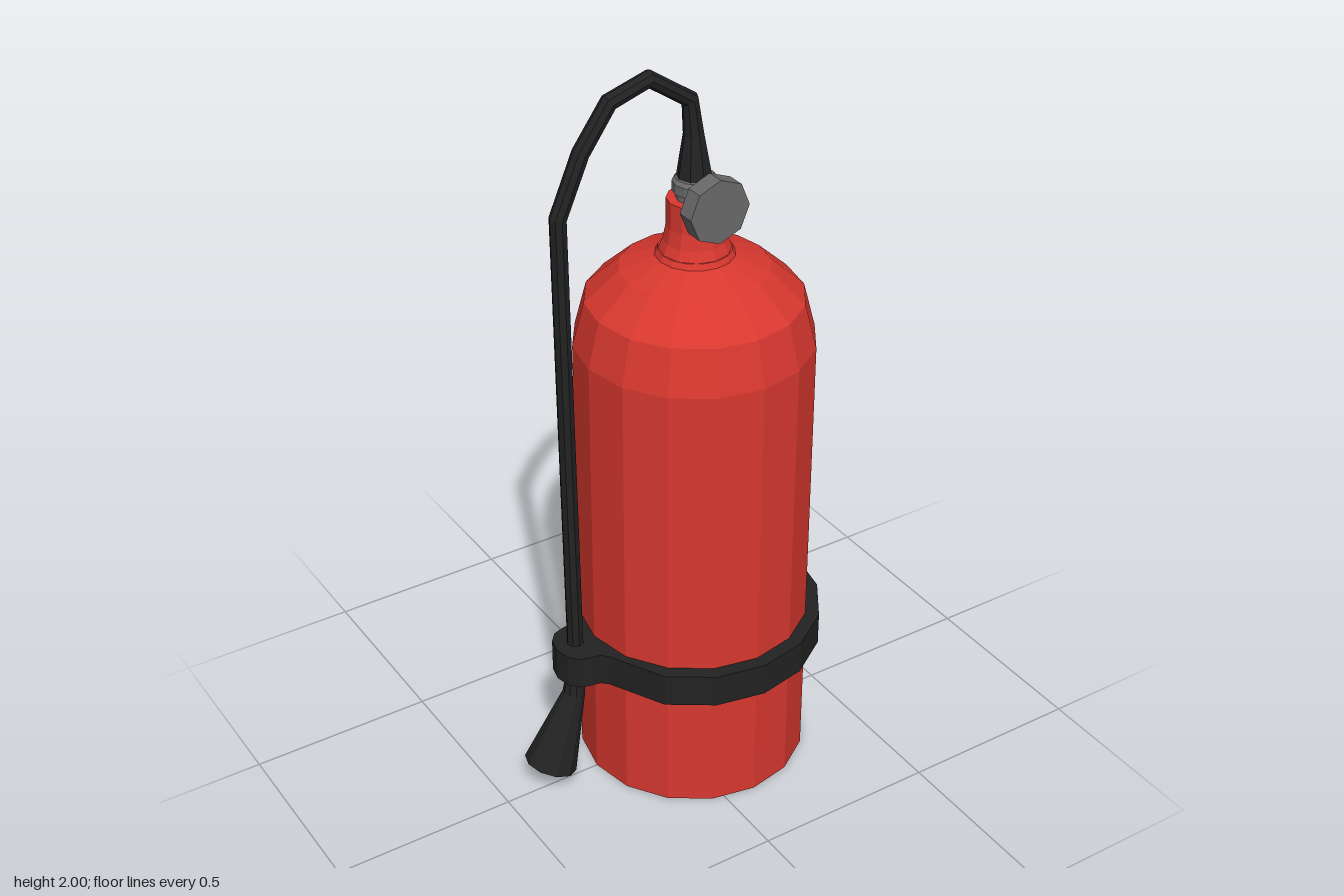
import * as THREE from 'three';

const CX = 0.086; // cylinder axis
const material = (color) => new THREE.MeshStandardMaterial({ color, flatShading: true });

// Tube of varying radius along a path of [x, y, radius] in the XY plane
function taperedTube(path, sides) {
  const Z = new THREE.Vector3(0, 0, 1);
  const centres = path.map(([x, y]) => new THREE.Vector3(x, y, 0));
  const pos = [], index = [];
  centres.forEach((c, i) => {
    const before = centres[Math.max(i - 1, 0)];
    const after = centres[Math.min(i + 1, centres.length - 1)];
    const inDir = (i ? c.clone().sub(before) : after.clone().sub(c)).normalize();
    const outDir = (i < centres.length - 1 ? after.clone().sub(c) : c.clone().sub(before)).normalize();
    const n = Z.clone().cross(inDir.add(outDir).normalize());
    for (let j = 0; j < sides; j++) {
      const a = (j / sides) * Math.PI * 2;
      const p = c.clone().addScaledVector(n, path[i][2] * Math.cos(a)).addScaledVector(Z, path[i][2] * Math.sin(a));
      pos.push(p.x, p.y, p.z);
    }
  });
  const last = (path.length - 1) * sides;
  for (let i = 0; i < path.length - 1; i++) {
    for (let j = 0; j < sides; j++) {
      const k = (j + 1) % sides, a = i * sides, b = a + sides;
      index.push(a + j, a + k, b + k, a + j, b + k, b + j);
    }
  }
  for (let j = 1; j < sides - 1; j++) {
    index.push(0, j + 1, j, last, last + j, last + j + 1);
  }
  const g = new THREE.BufferGeometry();
  g.setAttribute('position', new THREE.Float32BufferAttribute(pos, 3));
  g.setIndex(index);
  g.computeVertexNormals();
  return g;
}

export function createModel() {
  const model = new THREE.Group();
  model.name = 'fireExtinguisher';
  const red = material(0xd8382f), black = material(0x222222), grey = material(0x6a6a6a);

  const add = (name, geometry, mat, x = 0, y = 0, z = 0) => {
    const mesh = new THREE.Mesh(geometry, mat);
    mesh.name = name;
    mesh.position.set(x, y, z);
    model.add(mesh);
    return mesh;
  };
  const lathe = (profile, sides) =>
    new THREE.LatheGeometry(profile.map(([r, y]) => new THREE.Vector2(r, y)), sides);

  // Tank with faceted shoulder, and its neck
  add('tank', lathe([[0, 0], [0.308, 0], [0.308, 1.26], [0.277, 1.38], [0.19, 1.46], [0.1, 1.495], [0.093, 1.51], [0, 1.51]], 16), red, CX);
  add('neck', lathe([[0.093, 1.505], [0.08, 1.535], [0.072, 1.575], [0.072, 1.645], [0, 1.645]], 12), red, CX);

  // Valve collar
  add('valve', lathe([[0.048, 1.64], [0.048, 1.66], [0.058, 1.665], [0.058, 1.69], [0.05, 1.7], [0, 1.7]], 12), grey, CX);

  // Pressure gauge on a short stem
  const stem = new THREE.CylinderGeometry(0.02, 0.02, 0.07, 8).rotateX(Math.PI / 2);
  add('gaugeStem', stem, grey, CX, 1.67, 0.04);
  const gauge = new THREE.CylinderGeometry(0.084, 0.084, 0.048, 8).rotateX(Math.PI / 2);
  add('gauge', gauge, grey, CX, 1.648, 0.084);

  // Hose rising from the valve, arching over and hanging down the side
  const hosePath = [
    [CX, 1.69, 0.046], [0.083, 1.81, 0.026], [0.072, 1.9, 0.022], [-0.042, 1.978, 0.022],
    [-0.15, 1.945, 0.022], [-0.228, 1.836, 0.022], [-0.293, 1.685, 0.022],
    [-0.277, 0.45, 0.022], [-0.278, 0.33, 0.025],
  ];
  add('hose', taperedTube(hosePath, 8), black, 0, 0, -0.006);

  // Flared nozzle
  const nozzlePath = [[-0.277, 0.36, 0.023], [-0.285, 0.28, 0.03], [-0.363, 0.07, 0.072]];
  add('nozzle', taperedTube(nozzlePath, 10), black, 0, 0, -0.006);

  // Strap around the tank with a rounded lobe that holds the hose
  const outline = [];
  for (let i = -6; i <= 6; i++) {
    const a = (i * Math.PI) / 8;
    outline.push(new THREE.Vector2(CX + 0.345 * Math.cos(a), 0.345 * Math.sin(a)));
  }
  const lobe = [[-0.235, 0.095], [-0.252, 0.079], [-0.278, 0.074], [-0.305, 0.066], [-0.327, 0.04]];
  lobe.forEach(([x, y]) => outline.push(new THREE.Vector2(x, y)));
  outline.push(new THREE.Vector2(-0.336, 0));
  lobe.slice().reverse().forEach(([x, y]) => outline.push(new THREE.Vector2(x, -y)));
  const strapShape = new THREE.Shape(outline);
  const hole = [];
  for (let i = 0; i < 16; i++) {
    const a = (-i * Math.PI) / 8;
    hole.push(new THREE.Vector2(CX + 0.305 * Math.cos(a), 0.305 * Math.sin(a)));
  }
  strapShape.holes.push(new THREE.Path(hole));
  const strap = new THREE.ExtrudeGeometry(strapShape, { depth: 0.092, bevelEnabled: false }).rotateX(-Math.PI / 2);
  add('strap', strap, black, 0, 0.352, 0);

  return model;
}
